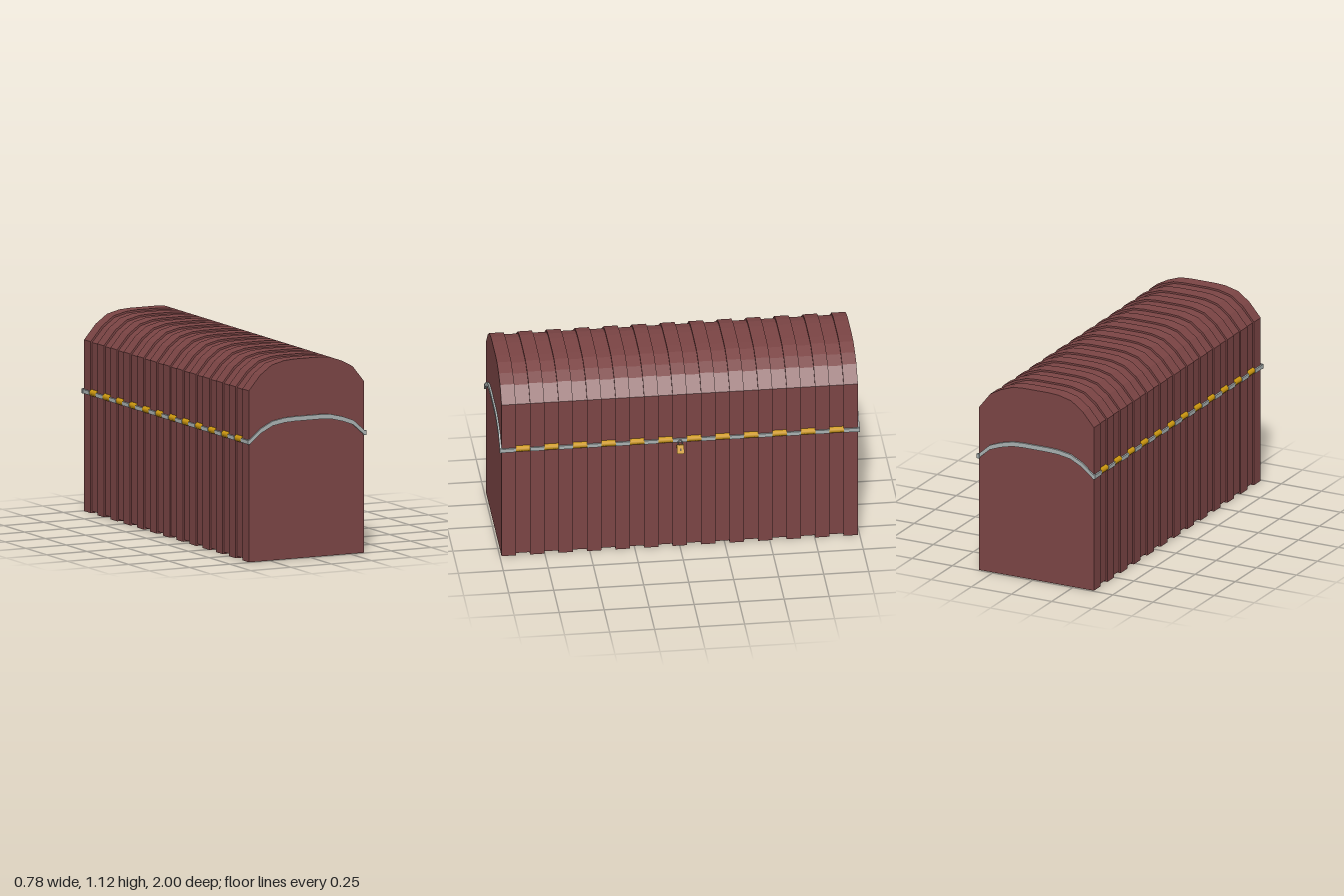
import * as THREE from 'three';

const mat = (name, color) => {
  const m = new THREE.MeshStandardMaterial({ color });
  m.name = name;
  return m;
};

export function createModel() {
  const hide = mat('maroon', 0x7a4444);
  const steel = mat('steel', 0xa8b0b0);
  const gold = mat('gold', 0xd09a10);
  const dark = mat('dark keyhole', 0x4a3810);
  const model = new THREE.Group();
  model.name = 'longChest';

  const add = (parent, name, geo, material, x = 0, y = 0, z = 0) => {
    const m = new THREE.Mesh(geo, material);
    m.name = name;
    m.position.set(x, y, z);
    parent.add(m);
    return m;
  };
  const extrude = (points, depth) => new THREE.ExtrudeGeometry(
    new THREE.Shape(points.map(([x, y]) => new THREE.Vector2(x, y))), { depth, bevelEnabled: false });

  // Domed cross-section, from one eave over the top to the other
  const cx = -0.02, half = 0.358, eave = 0.958;
  const dome = [[0.338, eave], [0.268, 1.047], [0.202, 1.083], [0.126, 1.11], [0.058, 1.115],
    [-0.093, 1.115], [-0.158, 1.111], [-0.235, 1.092], [-0.306, 1.041], [-0.377, eave]];
  const section = [[-0.377, 0], [0.338, 0], ...dome];
  const slim = section.map(([x, y]) => [cx + (x - cx) * 0.975, y === 0 ? 0.01 : y === eave ? y - 0.005 : y - 0.01]);

  // Alternating raised ribs and recessed grooves, with the seam running along both sides
  const count = 25, len = 1.98 / count;
  const ribGeo = extrude(section, len);
  const grooveGeo = extrude(slim, len);
  const steelGeo = new THREE.BoxGeometry(0.014, 0.022, len);
  const goldGeo = new THREE.CylinderGeometry(0.019, 0.019, len, 8).rotateX(Math.PI / 2).rotateZ(Math.PI / 8);
  for (let i = 0; i < count; i++) {
    const z = -0.99 + i * len, rib = i % 2 === 0;
    add(model, rib ? 'rib' : 'groove', rib ? ribGeo : grooveGeo, hide, 0, 0, z);
    for (const s of [-1, 1]) {
      if (rib) add(model, 'seamBar', steelGeo, steel, cx + s * (half + 0.002), 0.671, z + len / 2);
      else add(model, 'seamClasp', goldGeo, gold, cx + s * (half - 0.011), 0.673, z + len / 2);
    }
  }

  // Arched trim on both ends
  const arch = dome.map(([x, y]) => [x, 0.685 + (y - eave) * 0.7]);
  const trim = [...arch, ...arch.map(([x, y]) => [x, y - 0.026]).reverse()];
  const trimGeo = extrude(trim, 0.012);
  for (const z of [0.988, -1]) {
    add(model, 'endTrim', trimGeo, steel, 0, 0, z);
    for (const s of [-1, 1]) {
      add(model, 'trimCorner', new THREE.BoxGeometry(0.016, 0.026, 0.014), steel, cx + s * 0.36, 0.672, z + 0.006);
    }
  }

  // Padlock hanging tilted from the middle of the seam
  const lock = new THREE.Group();
  lock.name = 'padlock';
  lock.position.set(0.351, 0.682, 0);
  lock.rotation.z = 0.4;
  model.add(lock);
  add(lock, 'lockBody', new THREE.BoxGeometry(0.012, 0.05, 0.04), gold, 0, -0.056, 0);
  add(lock, 'keyhole', new THREE.BoxGeometry(0.002, 0.014, 0.008), dark, 0.0062, -0.058, 0);
  add(lock, 'shackle', new THREE.TorusGeometry(0.013, 0.003, 6, 10, Math.PI).rotateY(Math.PI / 2),
    steel, 0, -0.02, 0);
  for (const z of [-0.013, 0.013]) {
    add(lock, 'shackleLeg', new THREE.CylinderGeometry(0.003, 0.003, 0.014, 6), steel, 0, -0.027, z);
  }
  return model;
}
